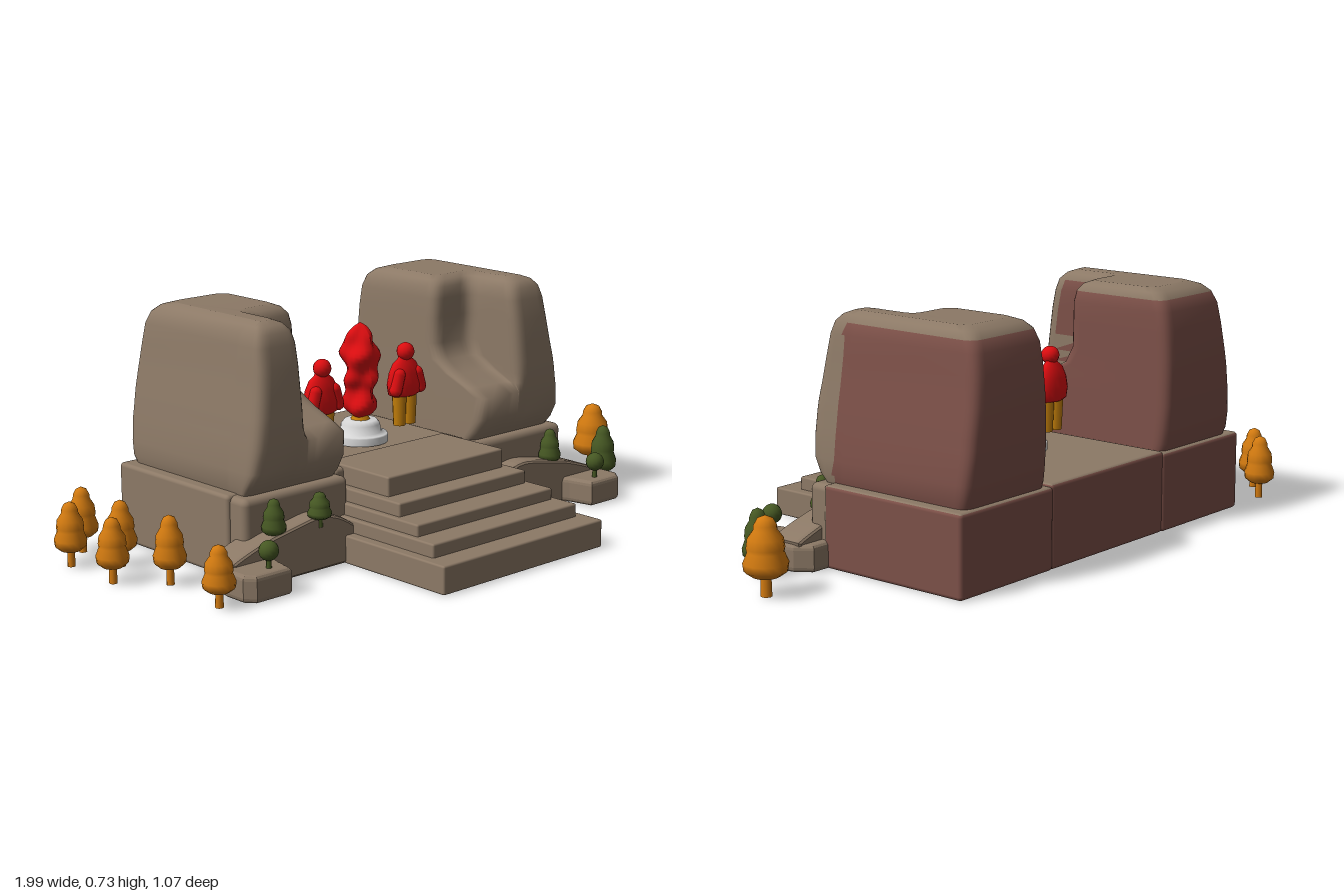
import * as THREE from 'three';
import { RoundedBoxGeometry } from 'three/addons/geometries/RoundedBoxGeometry.js';

const AXIS = -0.025; // centre line of the monument
const mat = (name, color) => new THREE.MeshStandardMaterial({ name, color });

export function createModel() {
  const stone = mat('tan stone', 0x8c7966), redStone = mat('red stone', 0x7c5048);
  const red = mat('red', 0xdd0d10), gold = mat('gold', 0xc47f0a), white = mat('white', 0xd8d8d8);
  const green = mat('leaf green', 0x465823), orange = mat('autumn orange', 0xd27a10);
  const model = new THREE.Group();
  model.name = 'monument';

  const add = (name, geo, material, x = 0, y = 0, z = 0, parent = model) => {
    const m = new THREE.Mesh(geo, material);
    m.name = name;
    m.position.set(x, y, z);
    parent.add(m);
    return m;
  };

  // Rock faces turned to +x or to the back are red stone, the rest tan
  const addRock = (name, geo) => {
    const g = geo.index ? geo.toNonIndexed() : geo;
    const p = g.attributes.position, n = p.count / 3;
    const lists = [[], []];
    const t = new THREE.Triangle(), nor = new THREE.Vector3(), mid = new THREE.Vector3();
    for (let i = 0; i < n; i++) {
      t.setFromAttributeAndIndices(p, i * 3, i * 3 + 1, i * 3 + 2);
      t.getNormal(nor);
      t.getMidpoint(mid);
      const isRed = mid.z < -0.005 && mid.y < 0.69 && nor.y < 0.6 && (nor.x > 0.6 || nor.z < -0.5);
      lists[isRed ? 1 : 0].push(i * 3, i * 3 + 1, i * 3 + 2);
    }
    g.clearGroups();
    g.setIndex([...lists[0], ...lists[1]]);
    g.addGroup(0, lists[0].length, 0);
    g.addGroup(lists[0].length, lists[1].length, 1);
    return add(name, g, [stone, redStone]);
  };

  const box = (x0, x1, y0, y1, z0, z1, r = 0.012) =>
    new RoundedBoxGeometry(x1 - x0, y1 - y0, z1 - z0, 2, r)
      .translate((x0 + x1) / 2, (y0 + y1) / 2, (z0 + z1) / 2);

  // Polygon with every corner rounded, always the same point count
  const rounded = (pts, radius) => {
    const out = [];
    pts.forEach((p, i) => {
      const a = pts[(i + pts.length - 1) % pts.length], b = pts[(i + 1) % pts.length];
      const toward = (q) => {
        const d = p.distanceTo(q);
        return d < 1e-5 ? p.clone() : p.clone().lerp(q, Math.min(radius, d * 0.45) / d);
      };
      out.push(...new THREE.QuadraticBezierCurve(toward(a), p, toward(b)).getPoints(5));
    });
    return out;
  };

  // Skin through horizontal rings, closed on top
  const loft = (rings) => {
    const pos = [], idx = [], n = rings[0].pts.length;
    rings.forEach(({ y, pts }) => {
      const ring = THREE.ShapeUtils.isClockWise(pts) ? [...pts].reverse() : pts;
      ring.forEach((p) => pos.push(p.x, y, p.y));
    });
    for (let r = 0; r < rings.length - 1; r++)
      for (let i = 0; i < n; i++) {
        const a = r * n + i, b = r * n + (i + 1) % n;
        idx.push(a, a + n, b, b, a + n, b + n);
      }
    const o = (rings.length - 1) * n;
    const top = rings[rings.length - 1].pts;
    const cap = THREE.ShapeUtils.isClockWise(top) ? [...top].reverse() : top;
    THREE.ShapeUtils.triangulateShape(cap, []).forEach(([a, b, c]) => idx.push(o + a, o + c, o + b));
    const g = new THREE.BufferGeometry();
    g.setAttribute('position', new THREE.Float32BufferAttribute(pos, 3));
    g.setIndex(idx);
    g.computeVertexNormals();
    return g;
  };

  // Pillar levels: height, outer edge, front z, back z, notch depth 0..1, inset
  const levels = [
    [0.23, 0.622, 0.03, -0.485, 0, 0], [0.265, 0.632, 0.06, -0.495, 0, 0],
    [0.31, 0.632, 0.085, -0.5, 0, 0], [0.38, 0.624, 0.09, -0.505, 0, 0],
    [0.405, 0.62, 0.09, -0.505, 0.25, 0], [0.435, 0.616, 0.09, -0.505, 0.6, 0],
    [0.47, 0.611, 0.088, -0.505, 0.88, 0], [0.52, 0.602, 0.082, -0.503, 1, 0],
    [0.6, 0.59, 0.072, -0.496, 1, 0], [0.66, 0.584, 0.06, -0.485, 1, 0],
    [0.695, 0.58, 0.055, -0.475, 1, 0.006], [0.715, 0.577, 0.05, -0.465, 1, 0.02],
    [0.726, 0.575, 0.045, -0.455, 1, 0.045],
  ];
  for (const s of [-1, 1]) {
    const side = s > 0 ? 'left' : 'right';
    const X = (u) => AXIS + s * u;
    const V = (u, z) => new THREE.Vector2(X(u), z);
    const span = (u0, u1) => [Math.min(X(u0), X(u1)), Math.max(X(u0), X(u1))];

    const rings = levels.map(([y, outer, front, back, t, ins]) => {
      const inner = 0.275 + 0.01 * (y - 0.24) / 0.48 + ins, f = front - ins, b = back + ins, o = outer - ins;
      const zn = THREE.MathUtils.lerp(f, -0.13 - ins, t), un = 0.435 + ins;
      return { y, pts: rounded([V(o, b), V(o, 0), V(o, f), V(un, f), V(un, zn), V(inner, zn), V(inner, b)], 0.04) };
    });
    addRock(side + 'Pillar', loft(rings));

    // Plinth under the pillar, with a tan front section
    addRock(side + 'Plinth', box(...span(0.262, 0.664), 0, 0.243, -0.505, 0.005));
    add(side + 'PlinthFront', box(...span(0.262, 0.655), 0, 0.24, -0.03, 0.07, 0.02), stone);

    // Low foot reaching forward
    const foot = new THREE.Shape(
      [[0.6, 0], [0.715, 0], [0.745, 0.04], [0.764, 0.13], [0.764, 0.2], [0.745, 0.222], [0.635, 0.222], [0.62, 0.15], [0.6, 0.1]]
        .map(([u, z]) => new THREE.Vector2(X(u), -z)));
    add(side + 'Foot', new THREE.ExtrudeGeometry(foot, {
      depth: 0.05, bevelThickness: 0.015, bevelSize: 0.012, bevelSegments: 3,
    }).rotateX(-Math.PI / 2).translate(0, 0.015, 0), stone);

    // Sloping mound between foot and stairs
    const mound = new THREE.Shape();
    mound.moveTo(X(0.3), 0);
    mound.lineTo(X(0.3), 0.1);
    mound.quadraticCurveTo(X(0.38), 0.16, X(0.46), 0.145);
    mound.lineTo(X(0.6), 0.12);
    mound.quadraticCurveTo(X(0.68), 0.1, X(0.74), 0.075);
    mound.lineTo(X(0.72), 0);
    add(side + 'Mound', new THREE.ExtrudeGeometry(mound, {
      depth: 0.08, bevelThickness: 0.015, bevelSize: 0.008, bevelSegments: 2, curveSegments: 8,
    }).translate(0, 0.008, 0.035), stone);
  }

  // Central platform and stairs
  addRock('platform', box(-0.295, 0.245, 0, 0.25, -0.503, 0.02));
  [[0.33, 0.085, 0.535], [0.298, 0.125, 0.46], [0.28, 0.16, 0.378], [0.262, 0.2, 0.285], [0.238, 0.258, 0.213]]
    .forEach(([w, y, z], i) => add('step' + (i + 1), box(AXIS - w, AXIS + w, 0, y, -0.05, z, 0.006), stone));

  const lathe = (pts, seg = 14) => new THREE.LatheGeometry(pts.map(([r, y]) => new THREE.Vector2(r, y)), seg);

  // White pedestal with the tall central statue
  add('pedestal', lathe([[0.085, 0], [0.085, 0.022], [0.082, 0.026], [0.064, 0.03], [0.06, 0.055], [0.05, 0.068], [0, 0.07]], 24),
    white, AXIS, 0.255, -0.165);
  add('statueFeet', new THREE.CylinderGeometry(0.02, 0.035, 0.03, 10), gold, AXIS, 0.33, -0.165);
  const robe = new THREE.SplineCurve([[0, 0.325], [0.034, 0.34], [0.052, 0.37], [0.04, 0.415], [0.05, 0.45], [0.046, 0.485],
    [0.06, 0.525], [0.045, 0.56], [0.036, 0.59], [0.02, 0.612], [0, 0.625]].map((p) => new THREE.Vector2(...p))).getPoints(36);
  robe.forEach((p) => { p.x = Math.max(p.x, 0); });
  const robeGeo = new THREE.LatheGeometry(robe, 24), rp = robeGeo.attributes.position;
  for (let i = 0; i < rp.count; i++) { // twisted folds
    const x = rp.getX(i), y = rp.getY(i), z = rp.getZ(i);
    const k = 1 + 0.16 * Math.sin(3 * Math.atan2(z, x) + y * 38);
    rp.setXYZ(i, x * k, y, z * k);
  }
  robeGeo.computeVertexNormals();
  add('centralStatue', robeGeo, red, AXIS, 0, -0.165);

  // Two cloaked attendants on gold legs
  for (const s of [-1, 1]) {
    const fig = new THREE.Group();
    fig.name = s > 0 ? 'leftAttendant' : 'rightAttendant';
    fig.position.set(AXIS + s * 0.172, 0.28, -0.15);
    for (const k of [-1, 1])
      add('leg', new THREE.CylinderGeometry(0.024, 0.019, 0.12, 10), gold, k * 0.022, 0.06, 0, fig);
    const cloak = add('cloak', lathe([[0, 0.095], [0.045, 0.092], [0.062, 0.1], [0.067, 0.13], [0.06, 0.165], [0.045, 0.195],
      [0.026, 0.21], [0.022, 0.22], [0, 0.23]], 18), red, 0, 0, 0, fig);
    cloak.scale.z = 0.55;
    add('head', new THREE.SphereGeometry(0.028, 14, 10), red, 0, 0.232, 0.005, fig);
    for (const k of [-1, 1]) {
      const arm = add('sleeve', new THREE.CapsuleGeometry(0.02, 0.05, 4, 10), red, k * 0.044, 0.14, 0.016, fig);
      arm.rotation.z = k * 0.3;
    }
    model.add(fig);
  }

  // Trees: x, base y, z, height, crown radius
  const crown = [[0, 0.24], [0.6, 0.25], [0.95, 0.32], [1, 0.42], [0.8, 0.55], [0.84, 0.6], [0.78, 0.72], [0.52, 0.82],
    [0.5, 0.88], [0.34, 0.96], [0, 1]];
  const tree = (name, m, x, y, z, h, r) => {
    const g = new THREE.Group();
    g.name = name;
    g.position.set(x, y, z);
    add('trunk', new THREE.CylinderGeometry(r * 0.22, r * 0.25, h * 0.32, 8), m, 0, h * 0.16, 0, g);
    add('crown', lathe(crown.map(([a, b]) => [a * r, b * h])), m, 0, 0, 0, g);
    model.add(g);
    return g;
  };
  [[-0.84, -0.49, 0.2], [-0.945, -0.4, 0.195], [-0.84, -0.3, 0.2], [-0.95, -0.19, 0.195], [-0.84, -0.07, 0.205], [-0.865, 0.18, 0.18]]
    .forEach(([x, z, h]) => tree('autumnTree', orange, x, 0, z, h, 0.048));
  tree('largeAutumnTree', orange, 0.935, 0, -0.065, 0.228, 0.064);
  tree('greenTree', green, 0.82, 0, 0.083, 0.2, 0.046);
  [[-0.6, 0.1, 0.1, 0.14], [-0.45, 0.13, 0.125, 0.105], [0.545, 0.1, 0.1, 0.14]]
    .forEach(([x, y, z, h]) => tree('smallGreenTree', green, x, y, z, h, 0.036));

  // Round bushes on the feet
  for (const x of [-0.7, 0.655]) {
    add('bush', new THREE.SphereGeometry(0.029, 14, 10), green, x, 0.13, 0.195);
    add('bushStem', new THREE.CylinderGeometry(0.007, 0.008, 0.04, 8), green, x, 0.095, 0.195);
  }
  return model;
}
